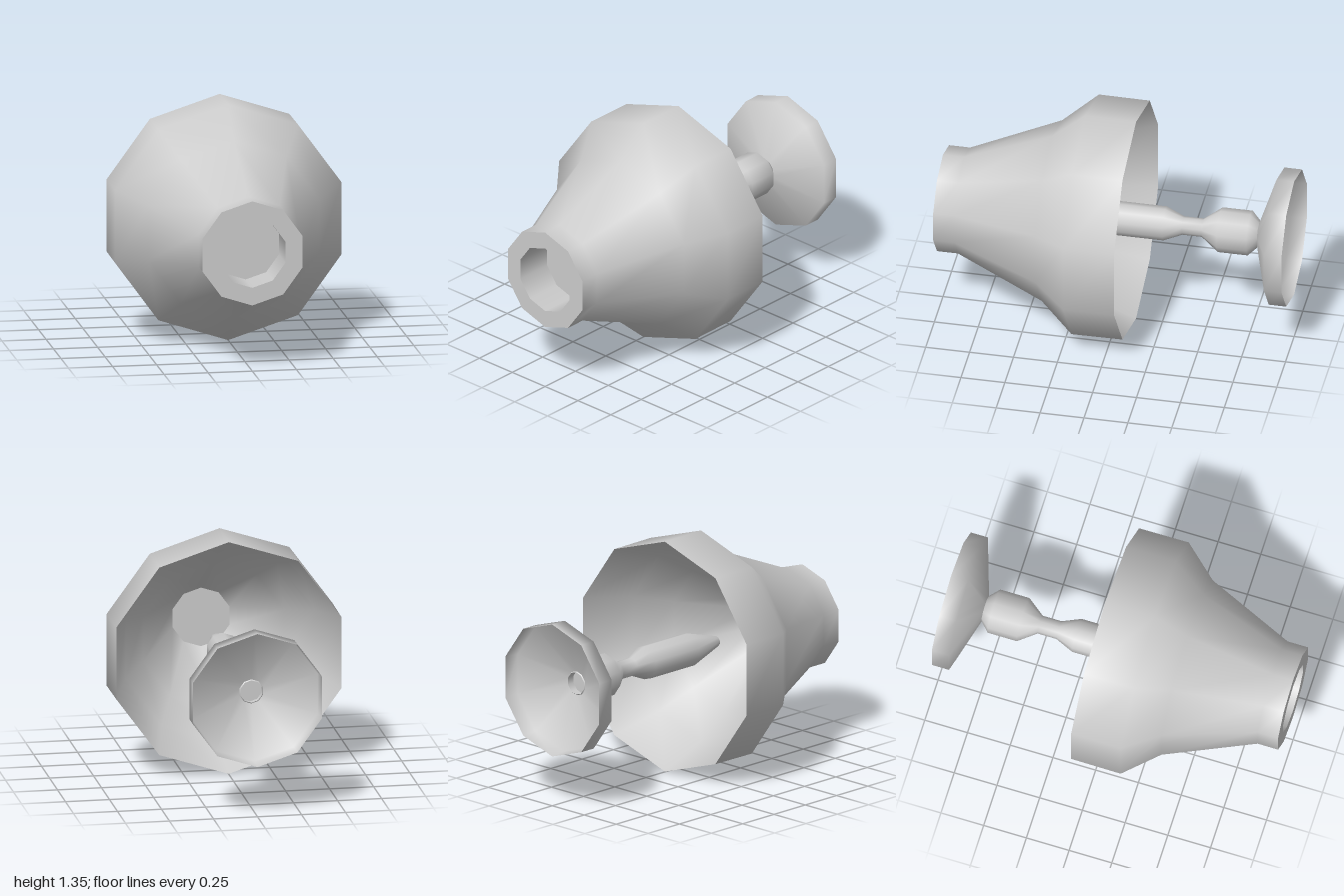
import * as THREE from 'three';

const SIDES = 10;
const AXIS_Y = 0.675;

export function createModel() {
  const model = new THREE.Group();
  const material = new THREE.MeshStandardMaterial({ color: 0xcccccc });

  // Ten-sided surface turned around the z axis; profile points are [radius, z].
  // Rising z faces away from the axis, falling z faces towards it.
  function turned(name, profile, parent) {
    const points = profile.map(([r, z]) => new THREE.Vector2(r, z));
    const geometry = new THREE.LatheGeometry(points, SIDES);
    geometry.rotateX(Math.PI / 2);
    const mesh = new THREE.Mesh(geometry, material);
    mesh.name = name;
    parent.add(mesh);
  }

  function part(name) {
    const group = new THREE.Group();
    group.name = name;
    group.position.y = AXIS_Y;
    model.add(group);
    return group;
  }

  // Bell-shaped body with a socket at the front and a deep open bowl at the back
  const body = part('body');
  turned('outerShell', [[0.672, -0.1], [0.674, 0.19], [0.508, 0.38], [0.298, 0.88], [0.298, 1]], body);
  turned('frontRim', [[0.298, 1], [0.197, 1]], body);
  turned('socketWall', [[0.197, 1], [0.197, 0.78]], body);
  turned('socketFloor', [[0.197, 0.78], [0, 0.78]], body);
  turned('bowlWall', [[0.17, 0.77], [0.42, 0.38], [0.56, 0.19], [0.672, -0.1]], body);
  turned('bowlFloor', [[0, 0.77], [0.17, 0.77]], body);

  // Waisted stem with a tapered tip inside the bowl
  const stem = part('stem');
  turned('stemShaft', [
    [0.065, -0.81], [0.126, -0.75], [0.126, -0.58], [0.052, -0.48],
    [0.052, -0.37], [0.096, -0.265], [0.096, 0.08], [0.03, 0.31], [0, 0.335],
  ], stem);

  // Flared, thin end plate with a small recess at its centre
  const plate = part('endPlate');
  turned('plateOuter', [[0.386, -1], [0.386, -0.9], [0.07, -0.8]], plate);
  turned('plateHollow', [[0.07, -0.805], [0.376, -0.91], [0.386, -1]], plate);
  turned('recessWall', [[0.07, -0.76], [0.07, -0.805]], plate);
  turned('recessFloor', [[0, -0.76], [0.07, -0.76]], plate);

  return model;
}
